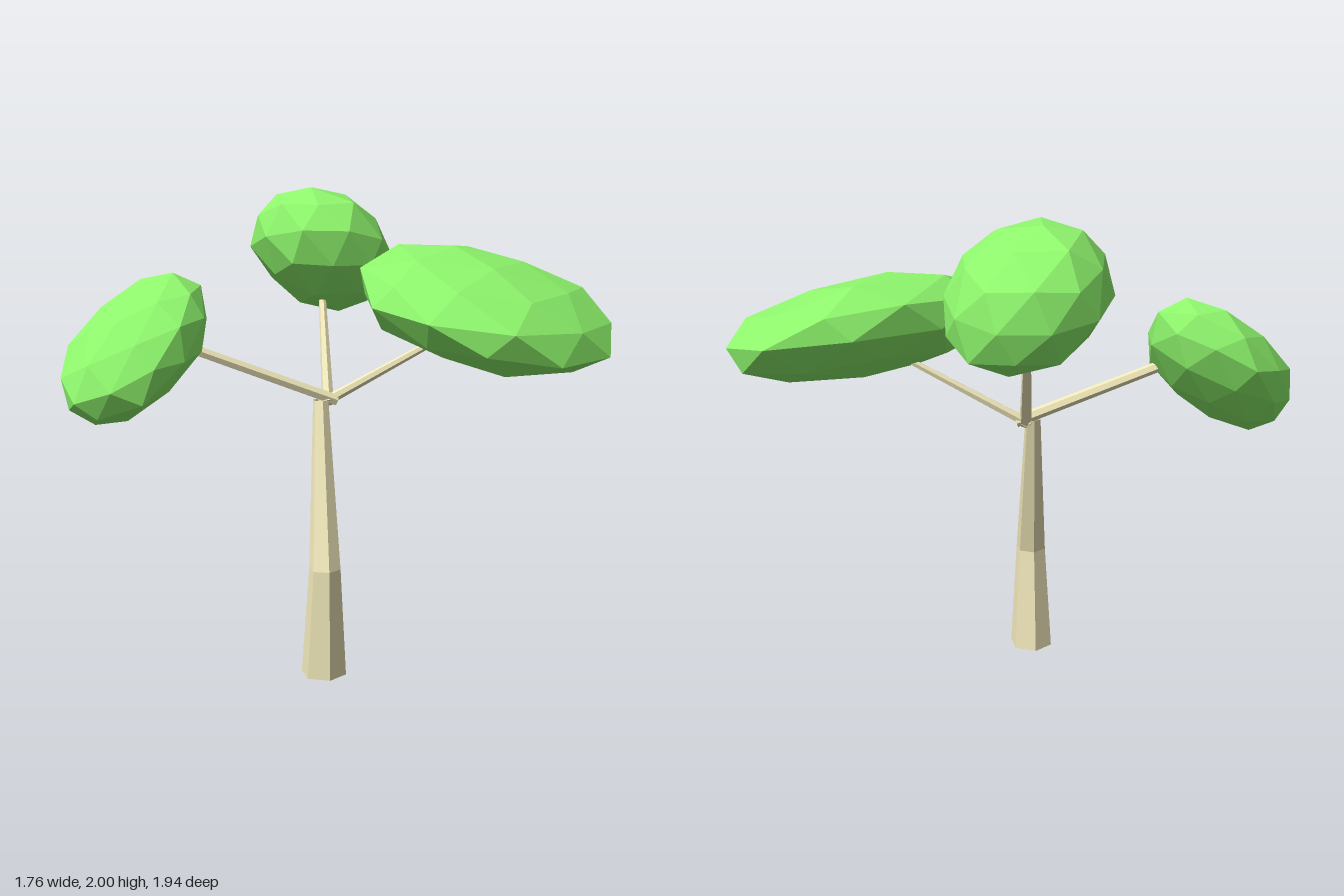
import * as THREE from 'three';

const bark = new THREE.MeshStandardMaterial({ color: 0xf0e8ba, flatShading: true, side: THREE.DoubleSide });
const leaf = new THREE.MeshStandardMaterial({ color: 0x8ef56c, flatShading: true });

// Six-sided open trunk: each ring is [x, y, z, radius], from the ground up
function makeTrunk(rings) {
  const n = rings.length - 1;
  const geo = new THREE.CylinderGeometry(1, 1, n, 6, n, true);
  const p = geo.attributes.position;
  for (let i = 0; i < p.count; i++) {
    const [x, y, z, r] = rings[Math.round(p.getY(i) + n / 2)];
    p.setXYZ(i, x + p.getX(i) * r, y, z + p.getZ(i) * r);
  }
  geo.computeVertexNormals();
  const mesh = new THREE.Mesh(geo, bark);
  mesh.name = 'trunk';
  return mesh;
}

// Straight tapered branch between two points
function makeBranch(name, from, to, r0, r1) {
  const a = new THREE.Vector3(...from), b = new THREE.Vector3(...to);
  const dir = b.clone().sub(a);
  const mesh = new THREE.Mesh(new THREE.CylinderGeometry(r1, r0, dir.length(), 6), bark);
  mesh.position.copy(a).add(b).multiplyScalar(0.5);
  mesh.quaternion.setFromUnitVectors(new THREE.Vector3(0, 1, 0), dir.normalize());
  mesh.name = name;
  return mesh;
}

// Repeatable noise in -1..1 that depends only on the corner's position
function noise(v, seed) {
  const s = Math.sin(Math.round(v.x * 100) * 1.37 + Math.round(v.y * 100) * 2.11 + Math.round(v.z * 100) * 3.73 + seed) * 437.58;
  return (s - Math.floor(s)) * 2 - 1;
}

// Faceted leaf clump: uneven ball, flattened, tilted, then fitted to its size
function makeClump({ name, centre, half, axes, tilt, seed }) {
  const geo = new THREE.IcosahedronGeometry(1, 1);
  const p = geo.attributes.position, v = new THREE.Vector3();
  const spin = new THREE.Euler(seed, seed * 2, seed * 0.7);
  const lean = new THREE.Euler(...tilt);
  for (let i = 0; i < p.count; i++) {
    v.fromBufferAttribute(p, i);
    v.multiplyScalar(1 + 0.05 * noise(v, seed));
    v.applyEuler(spin).multiply(new THREE.Vector3(...axes)).applyEuler(lean);
    p.setXYZ(i, v.x, v.y, v.z);
  }
  geo.center();
  geo.computeBoundingBox();
  const m = geo.boundingBox.max;
  geo.scale(half[0] / m.x, half[1] / m.y, half[2] / m.z);
  geo.computeVertexNormals();
  const mesh = new THREE.Mesh(geo, leaf);
  mesh.position.set(...centre);
  mesh.name = name;
  return mesh;
}

export function createModel() {
  const tree = new THREE.Group();
  tree.name = 'tree';

  // Bent trunk
  tree.add(makeTrunk([[0.04, 0, 0.22, 0.095], [0.063, 0.46, 0.235, 0.066], [-0.092, 1.125, 0.095, 0.033]]));

  // Three branches spreading from the fork
  tree.add(
    makeBranch('frontBranch', [-0.06, 1.12, 0.03], [-0.46, 1.37, 0.55], 0.025, 0.022),
    makeBranch('topBranch', [-0.08, 1.11, 0.065], [-0.37, 1.59, -0.2], 0.026, 0.014),
    makeBranch('sideBranch', [-0.1, 1.11, 0.07], [0.3, 1.43, -0.36], 0.022, 0.013),
  );

  // Leaf clumps at the branch ends
  const clumps = [
    { name: 'frontLeaves', centre: [-0.59, 1.35, 0.67], half: [0.29, 0.3, 0.305], axes: [0.29, 0.18, 0.39], tilt: [0.78, 0, 0], seed: 1 },
    { name: 'topLeaves', centre: [-0.415, 1.73, -0.25], half: [0.335, 0.27, 0.295], axes: [0.335, 0.245, 0.33], tilt: [-0.6, 0, -0.1], seed: 2 },
    { name: 'sideLeaves', centre: [0.385, 1.51, -0.405], half: [0.495, 0.25, 0.565], axes: [0.52, 0.215, 0.565], tilt: [0, 0, -0.38], seed: 3 },
  ];
  for (const c of clumps) tree.add(makeClump(c));
  return tree;
}
